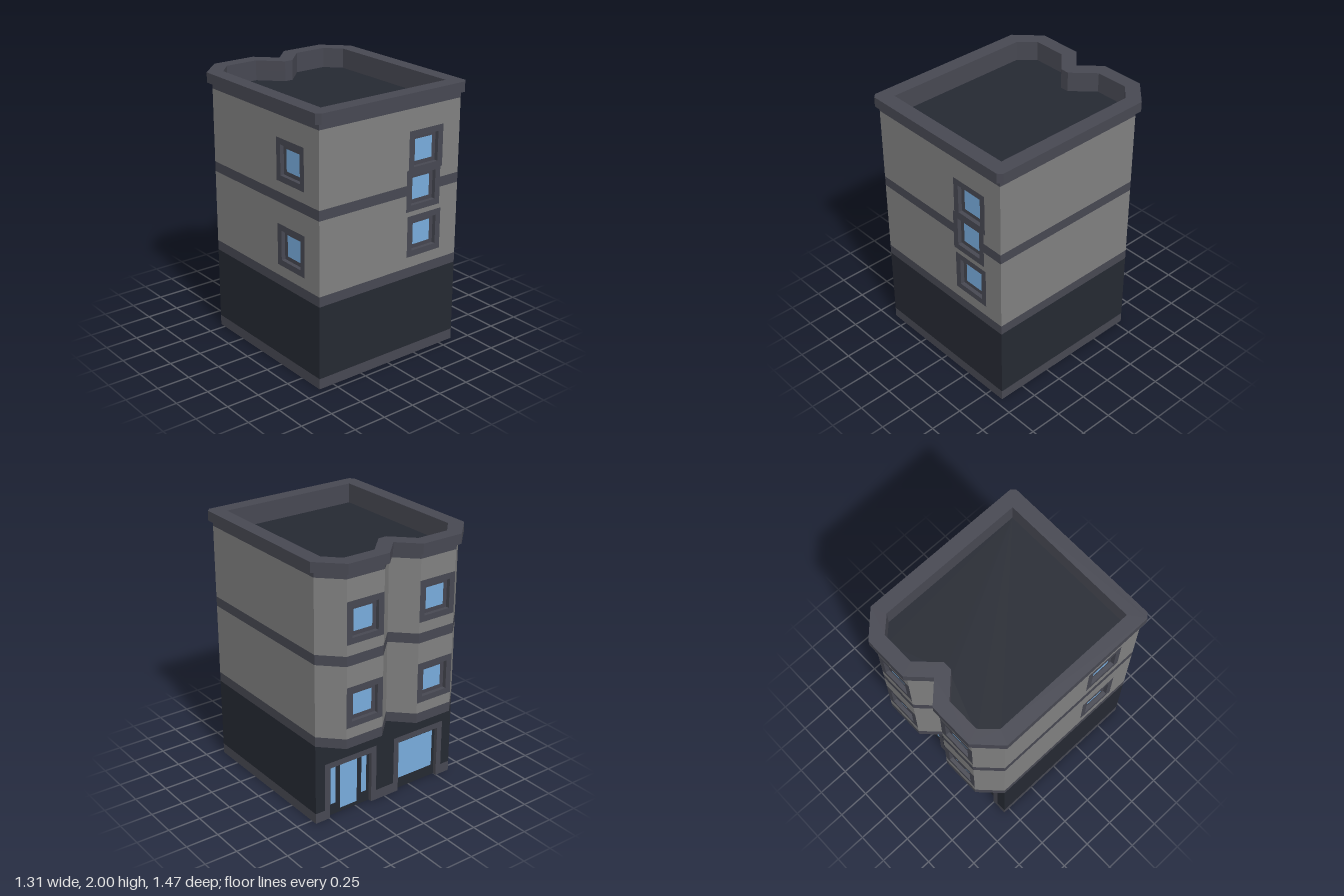
import * as THREE from 'three';
import { mergeGeometries } from 'three/addons/utils/BufferGeometryUtils.js';

const COLORS = {
  upperWalls: 0x808080, groundFloorWalls: 0x252932, trimBands: 0x474852,
  windowFrames: 0x474852, windowSashes: 0x454650, doorPanels: 0x252932, glass: 0x78acdc,
  parapetInside: 0x474852,
};
// Height stripes of the facade: top of stripe, part it belongs to
const STRIPES = [[0.08, 'trimBands'], [0.63, 'groundFloorWalls'], [0.705, 'trimBands'],
  [1.255, 'upperWalls'], [1.33, 'trimBands'], [1.88, 'upperWalls'], [1.925, 'trimBands']];
const RECESS = 0.03, FRAME = 0.045;

// An opening: outer frame, recessed hole, panes of glass [u0, u1, v0, v1]
const opening = (u, v0, v1, half, hole0, sash, panes) => ({
  outer: [u - half, u + half, v0, v1],
  hole: [u - half + FRAME, u + half - FRAME, hole0, v1 - FRAME],
  panes: panes.map(([a, b, c, d]) => [u + a, u + b, c, d]), sash,
});
const squareWindow = (u, v) => opening(u, v - 0.155, v + 0.155, 0.155, v - 0.11, 'windowSashes',
  [[-0.078, 0.078, v - 0.08, v + 0.08]]);
const entrance = (u) => opening(u, 0, 0.455, 0.23, 0, 'doorPanels',
  [[-0.16, -0.115, 0.09, 0.39], [-0.075, 0.075, 0.03, 0.39], [0.115, 0.16, 0.09, 0.39]]);
const shopWindow = (u) => opening(u, 0, 0.455, 0.23, 0, 'doorPanels', [[-0.16, 0.16, 0.085, 0.385]]);

const inside = ([a, b, c, d], u, v) => u > a && u < b && v > c && v < d;
const cuts = (values, lo, hi) => [...new Set([lo, hi, ...values.filter((v) => v > lo && v < hi)]
  .map((v) => +v.toFixed(4)))].sort((a, b) => a - b);

// Visit every cell of a rectangle that is cut along the given rectangles
function eachCell([a, b, c, d], rects, visit, extraV = []) {
  const us = cuts(rects.flatMap((r) => r.slice(0, 2)), a, b);
  const vs = cuts([...extraV, ...rects.flatMap((r) => r.slice(2))], c, d);
  for (let i = 0; i + 1 < us.length; i++) {
    for (let j = 0; j + 1 < vs.length; j++) {
      visit([us[i], us[i + 1], vs[j], vs[j + 1]], (us[i] + us[i + 1]) / 2, (vs[j] + vs[j + 1]) / 2);
    }
  }
}

// Shape on the ground plan from [x, z] points
const plan = (points) => new THREE.Shape(points.map(([x, z]) => new THREE.Vector2(x, -z)));

export function createModel() {
  const group = new THREE.Group();
  const buckets = {};
  const add = (name, geometry) => (buckets[name] ??= []).push(geometry);
  const mesh = (name, geometry, color) => {
    const m = new THREE.Mesh(geometry, new THREE.MeshStandardMaterial({ color, flatShading: true }));
    m.name = name;
    group.add(m);
    return m;
  };

  // One upright facade from p to q (left to right seen from outside), with its openings
  function facade(p, q, v0, v1, openings = [], only = null) {
    const d = new THREE.Vector3(q[0] - p[0], 0, q[1] - p[1]);
    const length = d.length();
    d.normalize();
    const up = new THREE.Vector3(0, 1, 0);
    const basis = new THREE.Matrix4().makeBasis(d, up, d.clone().cross(up)).setPosition(p[0], 0, p[1]);
    const quad = (name, [a, b, c, e], depth = 0) => add(name,
      new THREE.PlaneGeometry(b - a, e - c).translate((a + b) / 2, (c + e) / 2, -depth).applyMatrix4(basis));

    eachCell([0, length, v0, v1], openings.flatMap((o) => [o.outer, o.hole]), (cell, u, v) => {
      if (openings.some((o) => inside(o.hole, u, v))) return;
      const framed = openings.some((o) => inside(o.outer, u, v));
      quad(only ?? (framed ? 'windowFrames' : STRIPES.find(([top]) => v < top)[1]), cell);
    }, STRIPES.map(([top]) => top));

    for (const o of openings) {
      const [a, b, c, e] = o.hole;
      // Recessed sash and glass
      eachCell(o.hole, o.panes, (cell, u, v) => {
        quad(o.panes.some((r) => inside(r, u, v)) ? 'glass' : o.sash, cell, RECESS);
      });
      // Jambs, head and sill
      const reveal = (w, h, turnX, turnY, x, y) => add('windowFrames', new THREE.PlaneGeometry(w, h)
        .rotateX(turnX).rotateY(turnY).translate(x, y, -RECESS / 2).applyMatrix4(basis));
      reveal(RECESS, e - c, 0, Math.PI / 2, a, (c + e) / 2);
      reveal(RECESS, e - c, 0, -Math.PI / 2, b, (c + e) / 2);
      reveal(b - a, RECESS, Math.PI / 2, 0, (a + b) / 2, e);
      if (c > 0) reveal(b - a, RECESS, -Math.PI / 2, 0, (a + b) / 2, c);
    }
  }

  const W = 0.62, F = 0.7, B = -0.55, BAY = -0.703;
  const mirror = (half) => [...half, ...half.map(([x, z]) => [-x, z]).reverse()];

  // Front and side walls run the full height
  facade([-W, F], [W, F], 0, 1.925,
    [squareWindow(0.93, 0.94), squareWindow(0.915, 1.285), squareWindow(0.93, 1.565)]);
  facade([W, F], [W, B], 0, 1.925);
  facade([-W, B], [-W, F], 0, 1.925, [squareWindow(0.93, 0.94), squareWindow(0.93, 1.565)]);

  // Ground floor rear with entrance and shop window
  facade([W, B], [-W, B], 0, 0.63, [entrance(0.31), shopWindow(0.93)]);

  // Two rear bays on the upper floors
  for (const shift of [0, -W]) {
    const bay = [[W, B], [0.465, BAY], [0.155, BAY], [0, B]].map(([x, z]) => [x + shift, z]);
    for (let i = 0; i < 3; i++) {
      facade(bay[i], bay[i + 1], 0.63, 1.925,
        i === 1 ? [squareWindow(0.155, 0.94), squareWindow(0.155, 1.565)] : []);
    }
    const soffit = mesh('baySoffit', new THREE.ShapeGeometry(plan(bay)), COLORS.groundFloorWalls);
    soffit.material.side = THREE.DoubleSide;
    soffit.rotation.x = -Math.PI / 2;
    soffit.position.y = 0.63;
  }

  // Underside, notched at the two doorways
  const notch = [[0.495, B], [0.495, B + RECESS], [0.125, B + RECESS], [0.125, B]];
  const base = mesh('underside', new THREE.ShapeGeometry(plan(mirror([[W, F], [W, B], ...notch]))),
    COLORS.groundFloorWalls);
  base.material.side = THREE.DoubleSide;
  base.rotation.x = -Math.PI / 2;

  // Cornice ring on top of the walls
  const outer = mirror([[0.625, 0.733], [0.655, 0.703], [0.655, -0.565], [0.48, -0.737],
    [0.143, -0.737], [0.001, -0.595]]);
  const inner = mirror([[0.545, 0.62], [0.545, -0.52], [0.44, -0.63], [0.187, -0.63], [0.033, -0.476]]);
  const ring = plan(outer);
  ring.holes.push(plan(inner));
  const cornice = mesh('cornice',
    new THREE.ExtrudeGeometry(ring, { depth: 0.075, bevelEnabled: false }), COLORS.trimBands);
  cornice.rotation.x = -Math.PI / 2;
  cornice.position.y = 1.925;

  // Inner parapet faces and sunken roof deck
  inner.forEach((p, i) => facade(inner[(i + 1) % inner.length], p, 1.85, 1.925, [], 'parapetInside'));
  const deck = mesh('roofDeck', new THREE.ShapeGeometry(plan(inner)), COLORS.groundFloorWalls);
  deck.rotation.x = -Math.PI / 2;
  deck.position.y = 1.85;

  for (const name in buckets) mesh(name, mergeGeometries(buckets[name]), COLORS[name]);
  return group;
}
